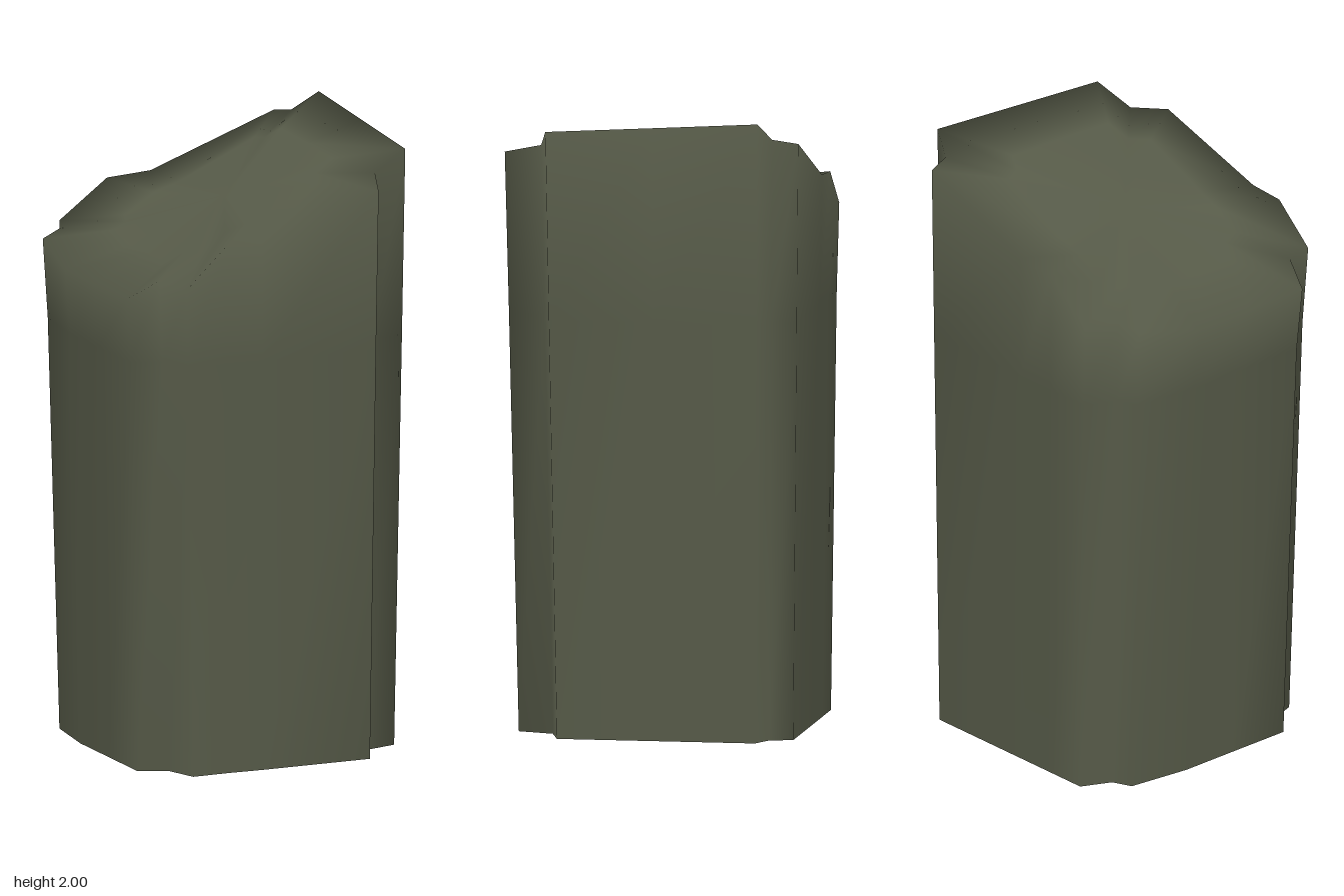
import * as THREE from 'three';

export function createModel() {
  const model = new THREE.Group();
  const olive = new THREE.MeshStandardMaterial({ color: 0x565a48, side: THREE.DoubleSide });
  olive.name = 'darkOlive';

  // Slanted rim, counter-clockwise from above: x, y, z
  const rim = [
    [0.495, 1.96, 0.315], [0.49, 1.98, -0.03], [0.485, 2.0, -0.37],
    [0.405, 1.94, -0.405], [0.38, 1.925, -0.485],
    [-0.05, 1.765, -0.485], [-0.2, 1.755, -0.485], [-0.365, 1.63, -0.485],
    [-0.41, 1.63, -0.38], [-0.48, 1.61, -0.35],
    [-0.5, 1.56, -0.12], [-0.49, 1.56, 0.1], [-0.48, 1.56, 0.335],
    [-0.38, 1.62, 0.37], [-0.335, 1.61, 0.485],
    [-0.2, 1.735, 0.48], [-0.07, 1.74, 0.483], [0.335, 1.87, 0.475],
    [0.375, 1.9, 0.35],
  ];
  const n = rim.length;

  // Narrower foot outline, widening towards the rim
  const wallRow = (y, t) => rim.map(([x, , z]) => [
    THREE.MathUtils.lerp(0.015 + x * 0.92, x, t), y,
    THREE.MathUtils.lerp(-0.0125 + z * 0.935, z, t),
  ]);
  // Inner row of the top, blending from the rim to a sloping plane
  const topRow = (s) => rim.map(([x, y, z]) => [
    x * s, THREE.MathUtils.lerp(1.785 + 0.4 * x * s, y, s * s * 0.8), z * s,
  ]);

  const rows = [wallRow(0, 0), wallRow(1.35, 0.7), rim, topRow(0.6)];
  const points = [...rows.flat(), [0, 1.785, 0]];
  const index = [];
  for (let r = 0; r < rows.length - 1; r++) {
    for (let i = 0; i < n; i++) {
      const a = r * n + i, b = r * n + (i + 1) % n;
      index.push(a, b, b + n, a, b + n, a + n);
    }
  }
  // Middle of the top
  const last = (rows.length - 1) * n;
  for (let i = 0; i < n; i++) index.push(last + i, last + (i + 1) % n, points.length - 1);

  // One smooth shell, open underneath
  const geometry = new THREE.BufferGeometry();
  geometry.setAttribute('position', new THREE.Float32BufferAttribute(points.flat(), 3));
  geometry.setIndex(index);
  geometry.computeVertexNormals();
  const shell = new THREE.Mesh(geometry, olive);
  shell.name = 'slantedShell';
  model.add(shell);
  return model;
}
